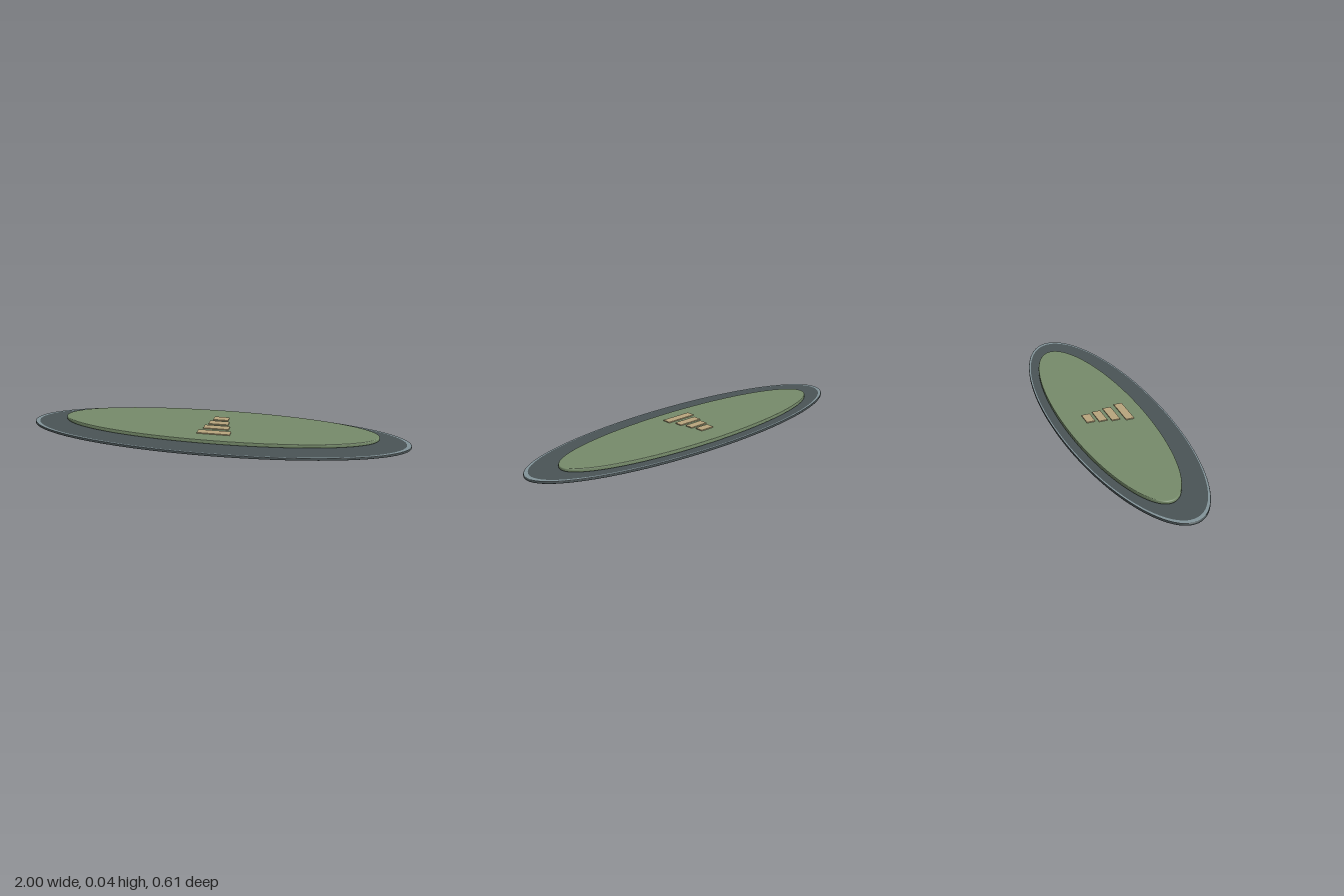
import * as THREE from 'three';

const mat = (name, color) => {
  const m = new THREE.MeshStandardMaterial({ color });
  m.name = name;
  return m;
};

// Elliptical disc with softly rounded edges, from y0 to y1
function disc(name, rx, rz, y0, y1, bevel, material) {
  const pts = [[0, y0], [1 - 2 * bevel, y0], [1 - bevel, y0]];
  const h = (y1 - y0) * 0.3;
  for (let i = 1; i <= 4; i++) {
    const a = (i / 4) * Math.PI / 2;
    pts.push([1 - bevel + bevel * Math.sin(a), y0 + h * (1 - Math.cos(a))]);
  }
  for (let i = 0; i <= 4; i++) {
    const a = (i / 4) * Math.PI / 2;
    pts.push([1 - bevel + bevel * Math.cos(a), y1 - h + h * Math.sin(a)]);
  }
  pts.push([1 - 2 * bevel, y1], [0, y1]);
  const geo = new THREE.LatheGeometry(pts.map(p => new THREE.Vector2(...p)), 96);
  geo.scale(rx, 1, rz);
  const mesh = new THREE.Mesh(geo, material);
  mesh.name = name;
  return mesh;
}

export function createModel() {
  const model = new THREE.Group();
  model.name = 'ovalIsland';
  const slate = mat('slate', 0x4b5557);
  const rimGrey = mat('rimGrey', 0x83949a);
  const grass = mat('grass', 0x778c6b);
  const wood = mat('wood', 0xb9a67e);

  // Stone base with a pale band just inside its edge
  model.add(disc('base', 1, 0.303, 0, 0.0125, 0.004, slate));
  const band = new THREE.RingGeometry(0.975, 0.996, 96);
  band.rotateX(-Math.PI / 2).scale(1, 1, 0.303);
  const rim = new THREE.Mesh(band, rimGrey);
  rim.name = 'baseRim';
  rim.position.y = 0.0131;
  model.add(rim);

  // Raised lawn, set towards the back
  const lawn = disc('lawn', 0.836, 0.219, 0.0155, 0.034, 0.007, grass);
  lawn.position.z = -0.036;
  model.add(lawn);

  // Stepping planks, shorter towards the back
  const planks = new THREE.Group();
  planks.name = 'planks';
  [[0.172, 0.081], [0.134, 0.01], [0.104, -0.055], [0.08, -0.118]].forEach(([w, z], i) => {
    const plank = new THREE.Mesh(new THREE.BoxGeometry(w, 0.005, 0.045), wood);
    plank.name = `plank${i + 1}`;
    plank.position.set(-0.003, 0.0377, z);
    planks.add(plank);
  });
  model.add(planks);
  return model;
}
